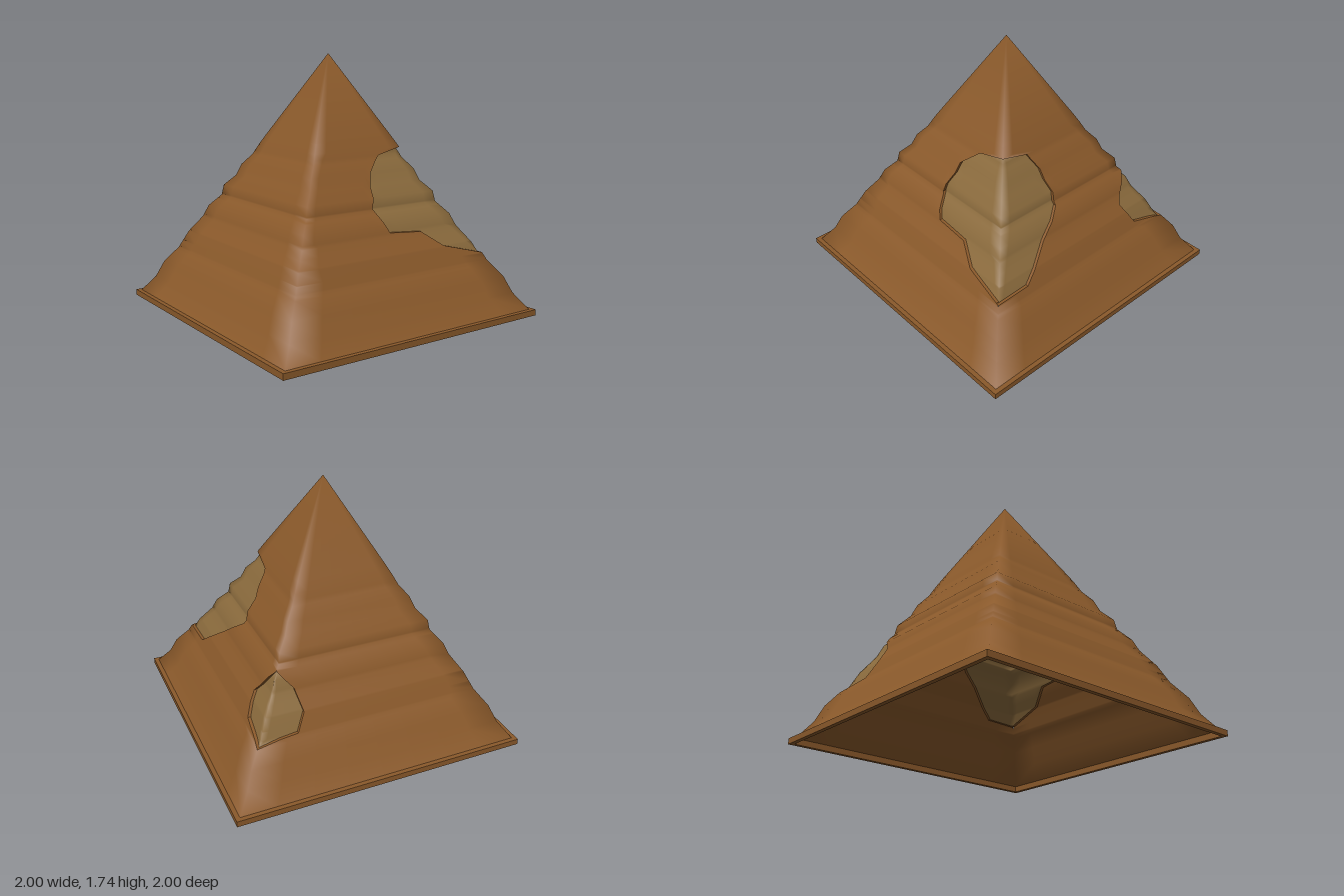
import * as THREE from 'three';
import { mergeGeometries, mergeVertices } from 'three/addons/utils/BufferGeometryUtils.js';

const DEPTH = 0.02; // how far the worn patches sit below the casing

// Half width of the weathered pyramid: [height, half width]
const PROFILE = [[0.04, 0.97], [0.15, 0.89], [0.26, 0.845], [0.37, 0.765], [0.49, 0.71], [0.6, 0.635],
  [0.68, 0.603], [0.76, 0.535], [0.83, 0.523], [0.9, 0.46], [0.98, 0.43], [1.05, 0.375], [1.12, 0.342],
  [1.18, 0.31], [1.74, 0]];

// Patch outlines on each face: [height, distance from the face centre line]
const FRONT_CORNER = {
  front: [[0.42, 0.74], [0.5, 0.43], [0.6, 0.29], [0.62, 0.04], [0.77, -0.03], [0.98, 0.03], [1.08, 0.15], [1.12, 0.342]],
  side: [[0.42, 0.74], [0.425, 0.49], [0.74, 0.07], [0.83, 0.07], [0.98, 0.1], [1.08, 0.15], [1.12, 0.342]],
};
const BACK_CORNER = {
  side: [[0.35, 0.78], [0.41, 0.52], [0.55, 0.44], [0.73, 0.56]],
  back: [[0.35, 0.78], [0.37, 0.62], [0.38, 0.5], [0.49, 0.44], [0.62, 0.47], [0.68, 0.52], [0.73, 0.56]],
};

// Linear interpolation along a list of [height, value]
function along(points, y) {
  for (let i = 1; i < points.length; i++) {
    const [y0, a] = points[i - 1], [y1, b] = points[i];
    if (y <= y1) return a + (b - a) * Math.max(0, (y - y0) / (y1 - y0));
  }
  return points[points.length - 1][1];
}
const half = (y) => along(PROFILE, y);

// Edge of a patch on its face, or the pyramid corner where there is no patch
function edge(points, y) {
  const inside = y >= points[0][0] && y <= points[points.length - 1][0];
  return inside ? Math.min(along(points, y), half(y)) : half(y);
}

// Point on face 0 front, 1 right-hand side, 2 back, 3 left-hand side; t runs left to right from outside
function onFace(face, t, y, h) {
  return [[t, y, h], [h, y, -t], [-t, y, -h], [-h, y, t]][face];
}

// Surface through rows of heights
function grid(ys, cols, pointAt) {
  const pos = [], index = [];
  ys.forEach((y, j) => {
    for (let i = 0; i <= cols; i++) {
      pos.push(...pointAt(y, i / cols));
      if (j && i) {
        const d = j * (cols + 1) + i, b = d - cols - 1;
        index.push(b - 1, b, d - 1, b, d, d - 1);
      }
    }
  });
  const g = new THREE.BufferGeometry();
  g.setAttribute('position', new THREE.Float32BufferAttribute(pos, 3));
  g.setIndex(index);
  return g;
}

function smooth(parts) {
  const g = mergeVertices(mergeGeometries(parts), 1e-4);
  g.computeVertexNormals();
  return g;
}

const outlines = [FRONT_CORNER.front, FRONT_CORNER.side, BACK_CORNER.side, BACK_CORNER.back];
const LEVELS = [...new Set([PROFILE, ...outlines].flat().map((p) => p[0]))].sort((a, b) => a - b);

// Recessed patch floor and rim; a is the outline left of the corner, b right of it
function patch(a, b, faceA, faceB) {
  const ys = LEVELS.filter((y) => y >= a[0][0] && y <= a[a.length - 1][0]);
  const inner = (y) => half(y) - DEPTH;
  const inEdge = (o, y) => Math.min(edge(o, y), inner(y));
  const floor = smooth([
    grid(ys, 6, (y, u) => onFace(faceA, THREE.MathUtils.lerp(inEdge(a, y), inner(y), u), y, inner(y))),
    grid(ys, 6, (y, u) => onFace(faceB, -THREE.MathUtils.lerp(inner(y), inEdge(b, y), u), y, inner(y))),
  ]);
  const rim = mergeGeometries([
    grid(ys, 1, (y, u) => onFace(faceA, u ? inEdge(a, y) : edge(a, y), y, half(y) - DEPTH * u)),
    grid(ys, 1, (y, u) => onFace(faceB, -(u ? edge(b, y) : inEdge(b, y)), y, half(y) - DEPTH * (1 - u))),
  ]).toNonIndexed();
  rim.computeVertexNormals();
  return { floor, rim };
}

export function createModel() {
  const group = new THREE.Group();
  const casing = new THREE.MeshStandardMaterial({ color: 0x8b5a2b, side: THREE.DoubleSide });
  const worn = new THREE.MeshStandardMaterial({ color: 0x8b6b3d, side: THREE.DoubleSide });
  const add = (name, geometry, material) => {
    const mesh = new THREE.Mesh(geometry, material);
    mesh.name = name;
    group.add(mesh);
    return mesh;
  };

  // Four weathered faces, cut back where a patch wraps round a corner
  const spans = [
    [(y) => -half(y), (y) => edge(FRONT_CORNER.front, y)],
    [(y) => -edge(FRONT_CORNER.side, y), (y) => edge(BACK_CORNER.side, y)],
    [(y) => -edge(BACK_CORNER.back, y), half],
    [(y) => -half(y), half],
  ];
  add('pyramidCasing', smooth(spans.map(([from, to], face) => grid(LEVELS, 8,
    (y, u) => onFace(face, THREE.MathUtils.lerp(from(y), to(y), u), y, half(y))))), casing);

  // Worn patches on two corners
  const front = patch(FRONT_CORNER.front, FRONT_CORNER.side, 0, 1);
  const back = patch(BACK_CORNER.side, BACK_CORNER.back, 1, 2);
  add('frontWornPatch', front.floor, worn);
  add('frontPatchRim', front.rim, casing);
  add('backWornPatch', back.floor, worn);
  add('backPatchRim', back.rim, casing);

  // Square plinth frame, open underneath
  const square = (path, r) => path.moveTo(-r, -r).lineTo(r, -r).lineTo(r, r).lineTo(-r, r).closePath();
  const outline = new THREE.Shape();
  square(outline, 1);
  const hole = new THREE.Path();
  square(hole, 0.97);
  outline.holes.push(hole);
  const frame = new THREE.ExtrudeGeometry(outline, { depth: 0.04, bevelEnabled: false });
  frame.rotateX(-Math.PI / 2);
  add('plinth', frame, casing);

  return group;
}
